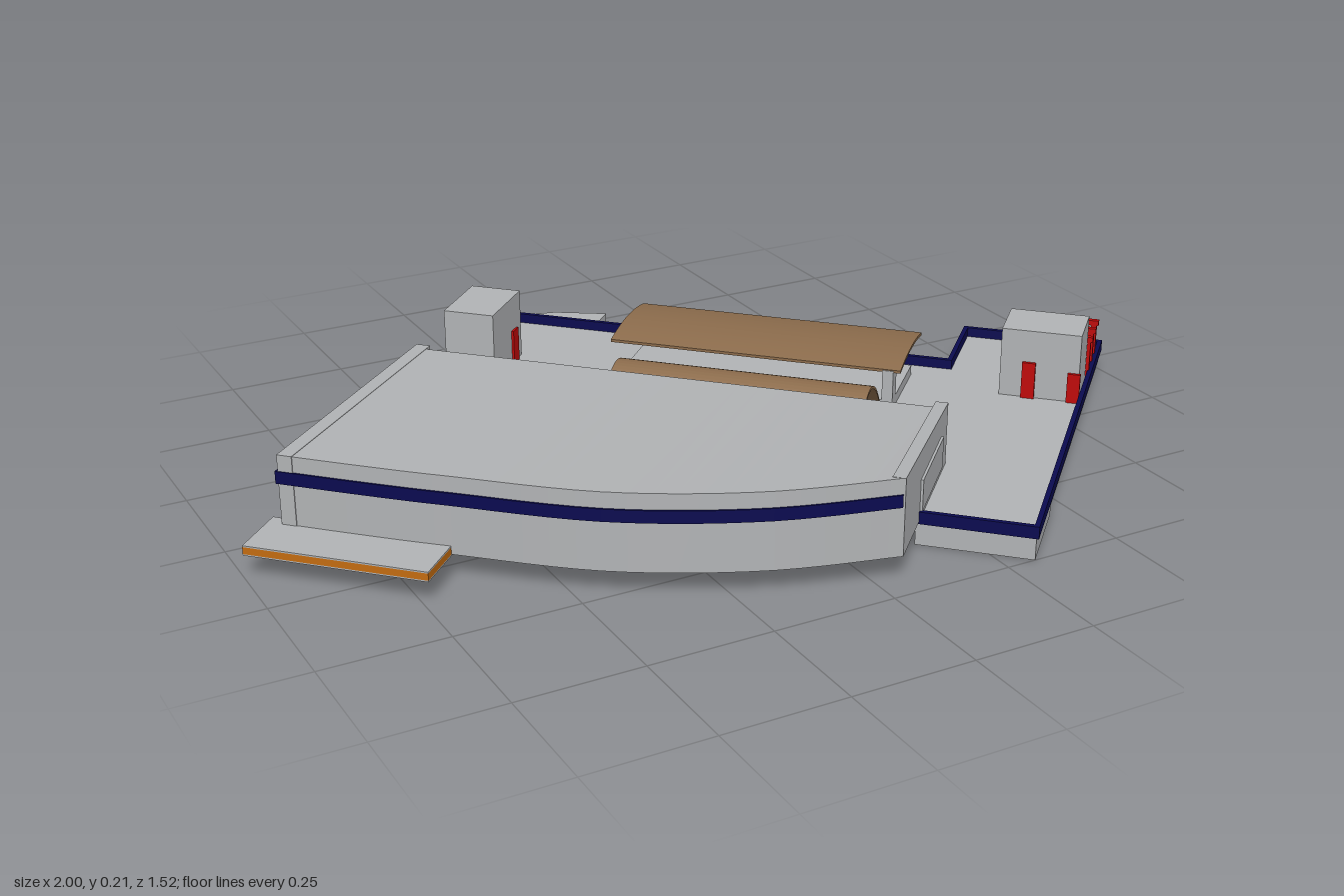
import * as THREE from 'three';

const material = (name, color, side = THREE.FrontSide) => {
  const m = new THREE.MeshStandardMaterial({ color, side });
  m.name = name;
  return m;
};

export function createModel() {
  const concrete = material('concrete grey', 0xb2b4b6);
  const navy = material('navy trim', 0x0a0a50);
  const timber = material('brown roof', 0x8c6c4c);
  const red = material('red paint', 0xc00808);
  const orange = material('orange edge', 0xc46c10);
  const glass = material('blue glass', 0x5878b4);
  const plaster = material('pale plaster', 0xa8acb0);

  // Everything is laid out in plan axes u (local x) and v (local -z), turned 45 degrees.
  const model = new THREE.Group();
  model.name = 'building';
  const site = new THREE.Group();
  site.name = 'site';
  site.rotation.y = -Math.PI / 4;
  model.add(site);

  const add = (name, geometry, mat) => {
    const mesh = new THREE.Mesh(geometry, mat);
    mesh.name = name;
    site.add(mesh);
    return mesh;
  };
  const box = (name, u0, u1, v0, v1, y0, y1, mat) => {
    const mesh = add(name, new THREE.BoxGeometry(u1 - u0, y1 - y0, v1 - v0), mat);
    mesh.position.set((u0 + u1) / 2, (y0 + y1) / 2, -(v0 + v1) / 2);
  };
  const toShape = (pts) => new THREE.Shape(pts.map(([a, b]) => new THREE.Vector2(a, b)));
  // Plan outline [u, v] raised from y0 to y1
  const slab = (name, pts, y0, y1, mat, hole) => {
    const shape = toShape(pts);
    if (hole) shape.holes.push(toShape(hole));
    const g = new THREE.ExtrudeGeometry(shape, { depth: y1 - y0, bevelEnabled: false });
    add(name, g.rotateX(-Math.PI / 2).translate(0, y0, 0), mat);
  };
  // Profile [v, y] run from u0 to u1
  const prism = (name, u0, u1, pts, mat) => {
    const g = new THREE.ExtrudeGeometry(toShape(pts), { depth: u1 - u0, bevelEnabled: false });
    add(name, g.rotateY(Math.PI / 2).translate(u0, 0, 0), mat);
  };
  // Closed [v, y] sections joined along a list of [u, v] stations
  const loft = (name, stations, section, mat) => {
    const pos = [];
    const rings = stations.map(({ x: u, y: v }) => section(v).map(([sv, y]) => [u, y, -sv]));
    for (let i = 0; i < rings.length - 1; i++) {
      const a = rings[i], b = rings[i + 1], n = a.length;
      for (let k = 0; k < n; k++) {
        const l = (k + 1) % n;
        pos.push(...a[k], ...b[k], ...b[l], ...a[k], ...b[l], ...a[l]);
      }
    }
    const g = new THREE.BufferGeometry();
    g.setAttribute('position', new THREE.Float32BufferAttribute(pos, 3));
    g.computeVertexNormals();
    add(name, g, mat);
  };

  // Terrace with an open courtyard
  const rim = [[-0.587, -0.05], [-0.587, 0.449], [0.449, 0.449], [0.449, 0.654],
    [0.75, 0.654], [0.75, -0.311], [0.523, -0.311]];
  slab('terrace', [...rim, [0.523, -0.12], [-0.587, -0.12]], 0.02, 0.05, concrete,
    [[-0.19, 0], [0.35, 0], [0.35, 0.17], [-0.19, 0.17]]);
  box('lowerBasement', 0.523, 0.75, -0.311, -0.112, 0, 0.03, concrete);
  slab('northApron', [[-0.601, 0.474], [-0.5, 0.534], [-0.382, 0.559], [-0.382, 0.44], [-0.587, 0.44]],
    0.02, 0.048, concrete);

  // Navy parapet around the terrace
  const t = 0.005;
  const edge = [...rim, [0.523, -0.05]];
  for (let i = 0; i < edge.length - 1; i++) {
    const [a, b] = [edge[i], edge[i + 1]];
    box('parapet', Math.min(a[0], b[0]) - t, Math.max(a[0], b[0]) + t,
      Math.min(a[1], b[1]) - t, Math.max(a[1], b[1]) + t, 0.046, 0.071, navy);
  }

  // Hall with a curved front and a roof falling to the terrace side
  const front = new THREE.SplineCurve([[-0.59, -0.69], [-0.42, -0.69], [-0.262, -0.686], [0.035, -0.668],
    [0.304, -0.587], [0.527, -0.463]].map(([u, v]) => new THREE.Vector2(u, v))).getPoints(32);
  const inner = -0.07;
  loft('hallShell', front, (v) => [[v, 0.05], [v, 0.207], [inner, 0.18], [inner, 0.05],
    [inner - 0.02, 0.05], [inner - 0.02, 0.13], [v + 0.02, 0.13], [v + 0.02, 0.05]], concrete);
  prism('hallNorthWall', -0.592, -0.562, [[-0.692, 0.05], [-0.05, 0.05], [-0.05, 0.18], [-0.692, 0.208]], concrete);
  prism('hallEastWall', 0.505, 0.53, [[-0.463, 0.05], [-0.042, 0.05], [-0.042, 0.18], [-0.463, 0.207]], concrete);
  box('roofLedge', -0.565, 0.51, -0.075, -0.045, 0.05, 0.165, concrete);
  box('courtyardLedge', -0.22, 0.375, -0.05, -0.015, 0.05, 0.075, concrete);
  loft('frontStripe', front, (v) => [[v - 0.004, 0.15], [v - 0.004, 0.175], [v + 0.004, 0.175], [v + 0.004, 0.15]], navy);
  prism('northStripe', -0.597, -0.59, [[-0.694, 0.15], [-0.05, 0.14], [-0.05, 0.165], [-0.694, 0.175]], navy);
  box('hallSidePanel', 0.528, 0.535, -0.31, -0.105, 0.07, 0.135, concrete);
  for (let i = 0; i < 3; i++) {
    const u = -0.48 + i * 0.32;
    box('ceilingPanel', u, u + 0.27, -0.44, -0.14, 0.124, 0.131, concrete);
  }

  // Entrance platform with orange edges
  const platform = [[-0.622, -0.792], [-0.258, -0.792], [-0.258, -0.68], [-0.622, -0.668]];
  slab('platformEdge', platform, 0.05, 0.064, orange);
  slab('platformTop', platform, 0.064, 0.067, concrete);
  slab('platformUnderside', platform, 0.047, 0.05, concrete);

  // Arched roofs: inner vault and higher outer canopy
  const arch = (name, u0, u1, v0, v1, spring, rise, thick) => {
    const top = [], under = [];
    for (let i = 0; i <= 20; i++) {
      const s = i / 20, y = spring + rise * (1 - (2 * s - 1) ** 2);
      top.push([v0 + (v1 - v0) * s, y + thick]);
      under.unshift([v0 + (v1 - v0) * s, y]);
    }
    prism(name, u0, u1, [...top, ...under], timber);
  };
  arch('vaultRoof', -0.198, 0.348, -0.014, 0.187, 0.062, 0.068, 0.006);
  arch('canopyRoof', -0.244, 0.39, 0.187, 0.416, 0.134, 0.012, 0.006);

  // Pavilion below the canopy with a glazed face
  box('pavilionPlinth', -0.22, 0.375, 0.185, 0.39, 0.045, 0.072, concrete);
  box('pavilionPier', 0.352, 0.375, 0.185, 0.22, 0.05, 0.138, concrete);
  const facade = (name, u, y, w, h, v, mat) => {
    const mesh = add(name, new THREE.PlaneGeometry(w, h), mat);
    mesh.rotation.y = Math.PI;
    mesh.position.set(u, y, -v);
  };
  facade('pavilionFace', 0.078, 0.1, 0.595, 0.07, 0.385, plaster);
  for (let g = 0; g < 6; g++)
    for (let c = 0; c < 3; c++)
      for (let r = 0; r < 3; r++)
        facade('windowPane', -0.165 + g * 0.096 + (c - 1) * 0.018, 0.079 + r * 0.013, 0.014, 0.01, 0.391, glass);

  // Stair towers and red doors
  box('northTower', -0.592, -0.48, 0.1, 0.262, 0.045, 0.2, concrete);
  box('eastTower', 0.575, 0.742, 0.337, 0.46, 0.045, 0.2, concrete);
  box('northDoor', -0.482, -0.475, 0.205, 0.235, 0.05, 0.125, red);
  box('eastDoor', 0.718, 0.745, 0.33, 0.339, 0.05, 0.115, red);
  box('eastDoor', 0.622, 0.65, 0.33, 0.339, 0.05, 0.13, red);

  // Red pergola frames
  for (const v of [0.477, 0.53, 0.58]) {
    box('pergolaBeam', 0.572, 0.752, v - 0.006, v + 0.006, 0.136, 0.147, red);
    for (const u of [0.58, 0.742]) box('pergolaPost', u - 0.006, u + 0.006, v - 0.006, v + 0.006, 0.045, 0.138, red);
  }
  return model;
}
